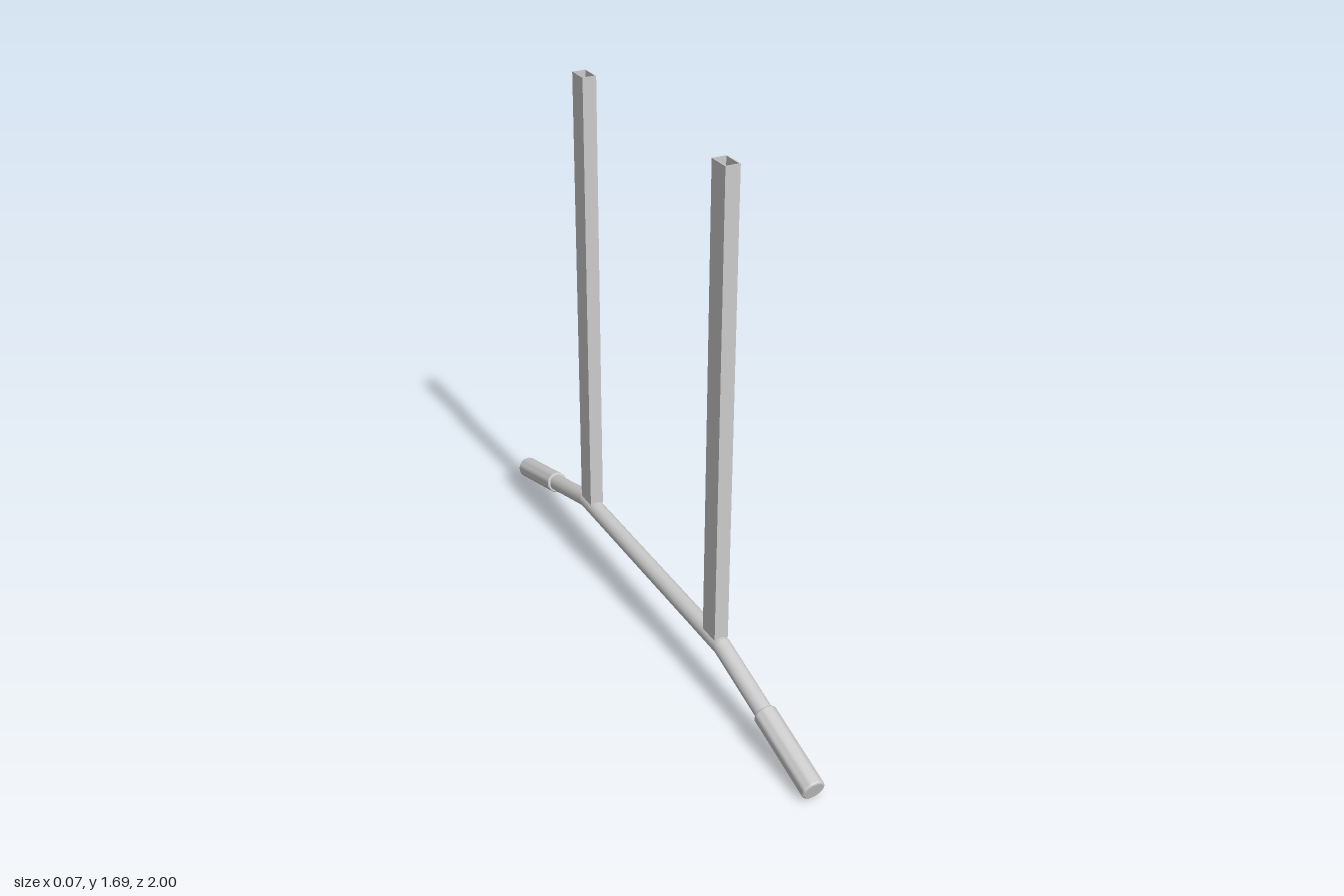
import * as THREE from 'three';
import { toCreasedNormals } from 'three/addons/utils/BufferGeometryUtils.js';

const PIPE_R = 0.028, PIPE_Y = 0.181, BEND_Z = 0.47;
const GRIP_R = 0.036, GRIP_START = 0.26, GRIP_END = 0.541;
const BEND = THREE.MathUtils.degToRad(15.8);
const POST_Z = 0.427, POST_BOTTOM = 0.203, POST_TOP = 1.69;

const material = new THREE.MeshStandardMaterial({ color: 0xcccccc, side: THREE.DoubleSide });

function part(name, geometry) {
  const mesh = new THREE.Mesh(geometry, material);
  mesh.name = name;
  return mesh;
}

// Pipe along z whose ends are cut at a slant (z shifts by slope * y)
function mitredPipe(z0, z1, slope0, slope1) {
  const geometry = new THREE.CylinderGeometry(PIPE_R, PIPE_R, z1 - z0, 32, 1, true);
  geometry.rotateX(Math.PI / 2);
  geometry.translate(0, 0, (z0 + z1) / 2);
  const p = geometry.attributes.position;
  const mid = (z0 + z1) / 2;
  for (let i = 0; i < p.count; i++) {
    p.setZ(i, p.getZ(i) + p.getY(i) * (p.getZ(i) > mid ? slope1 : slope0));
  }
  return geometry;
}

// Thick sleeve with bevelled rims, along z
function gripGeometry() {
  const b = 0.006;
  const profile = [
    [0, GRIP_START], [GRIP_R - 0.003, GRIP_START], [GRIP_R, GRIP_START + 0.004],
    [GRIP_R, GRIP_END - b], [GRIP_R - 0.002, GRIP_END - 0.002],
    [GRIP_R - b, GRIP_END], [0, GRIP_END],
  ].map(([r, h]) => new THREE.Vector2(r, h));
  const geometry = new THREE.LatheGeometry(profile, 32);
  geometry.rotateX(Math.PI / 2);
  return toCreasedNormals(geometry, 0.4);
}

// Hollow rectangular post, open at both ends
function postGeometry() {
  const rectangle = (target, w, d) => {
    target.moveTo(-w, -d);
    target.lineTo(w, -d);
    target.lineTo(w, d);
    target.lineTo(-w, d);
    target.closePath();
    return target;
  };
  const shape = rectangle(new THREE.Shape(), 0.0225, 0.036);
  shape.holes.push(rectangle(new THREE.Path(), 0.0195, 0.033));
  const geometry = new THREE.ExtrudeGeometry(shape, {
    depth: POST_TOP - POST_BOTTOM, bevelEnabled: false,
  });
  geometry.rotateX(-Math.PI / 2);
  return geometry;
}

export function createModel() {
  const model = new THREE.Group();
  model.name = 'handlebar';
  const slope = Math.tan(BEND / 2);

  // Straight middle of the bar
  const crossbar = part('crossbar', mitredPipe(-BEND_Z, BEND_Z, -slope, slope));
  crossbar.position.y = PIPE_Y;
  model.add(crossbar);

  // Each end: post, drooping arm and grip
  for (const [name, turn] of [['front', 0], ['back', Math.PI]]) {
    const end = new THREE.Group();
    end.name = name + 'End';
    end.rotation.y = turn;

    const post = part(name + 'Post', postGeometry());
    post.position.set(0, POST_BOTTOM, POST_Z);

    const arm = new THREE.Group();
    arm.name = name + 'Arm';
    arm.position.set(0, PIPE_Y, BEND_Z);
    arm.rotation.x = BEND;
    arm.add(
      part(name + 'ArmPipe', mitredPipe(0, GRIP_START + 0.01, -slope, 0)),
      part(name + 'Grip', gripGeometry()),
    );

    end.add(post, arm);
    model.add(end);
  }
  return model;
}
